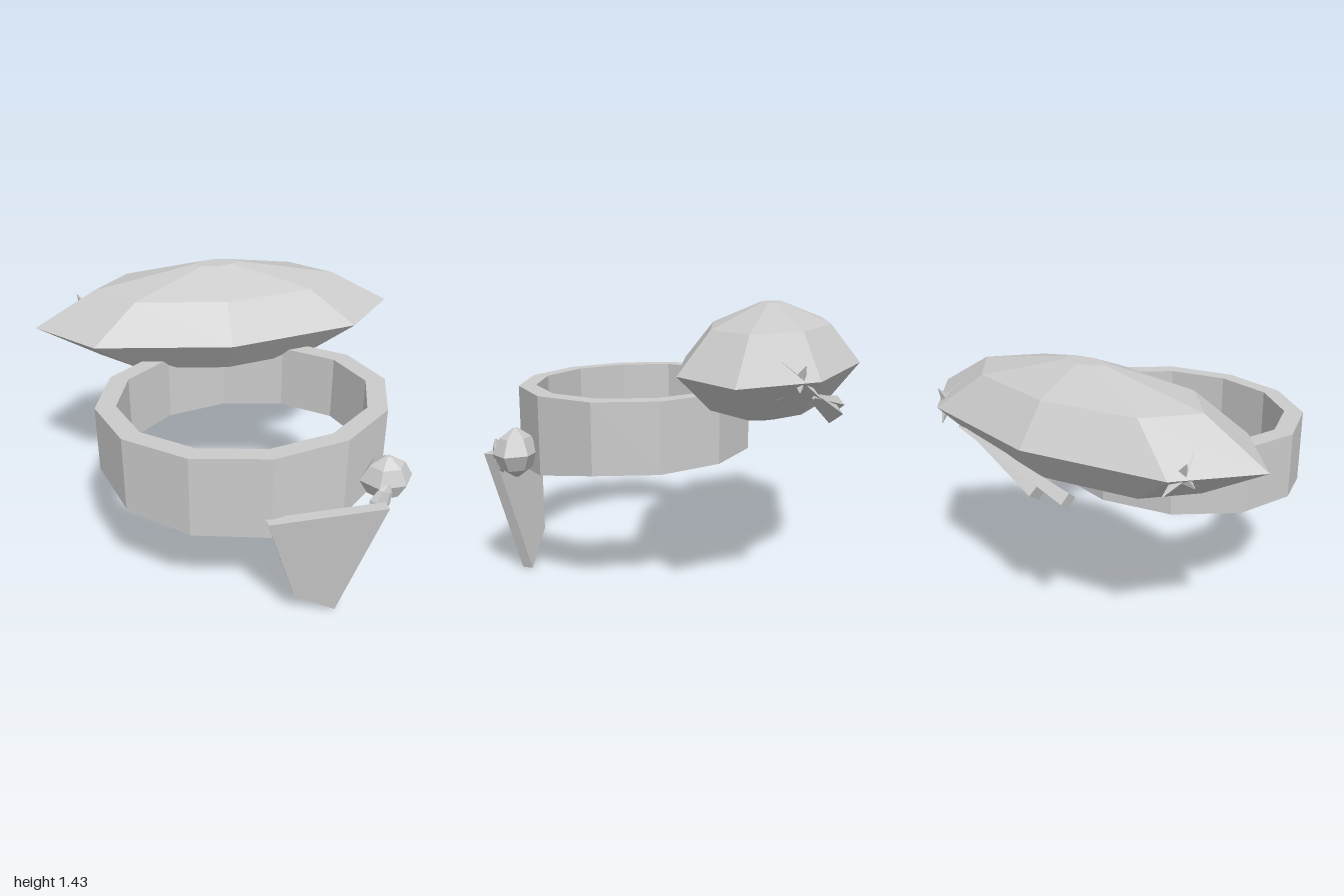
import * as THREE from 'three';

export function createModel() {
  const root = new THREE.Group();
  const mat = new THREE.MeshStandardMaterial({ color: 0xcccccc, flatShading: true, side: THREE.DoubleSide });

  const add = (name, geometry, parent = root) => {
    const mesh = new THREE.Mesh(geometry, mat);
    mesh.name = name;
    parent.add(mesh);
    return mesh;
  };

  // Faceted ball with small flat caps, used for the bun and the beads
  const facetedBall = (name, sides, [x, y, z], [rx, ry, rz]) => {
    const profile = [[0, -1], [0.12, -1], [0.67, -0.64], [1, 0], [0.67, 0.64], [0.12, 1], [0, 1]]
      .map(([r, h]) => new THREE.Vector2(r, h));
    const mesh = add(name, new THREE.LatheGeometry(profile, sides, Math.PI / 2).scale(rx, ry, rz));
    mesh.position.set(x, y, z);
    return mesh;
  };

  // Tapered rod running between two points
  const rod = (name, from, to, r0, r1, sides, parent = root) => {
    const a = new THREE.Vector3(...from), b = new THREE.Vector3(...to);
    const dir = b.clone().sub(a);
    const mesh = add(name, new THREE.CylinderGeometry(r1, r0, dir.length(), sides), parent);
    mesh.position.copy(a).add(b).multiplyScalar(0.5);
    mesh.quaternion.setFromUnitVectors(new THREE.Vector3(0, 1, 0), dir.normalize());
    return mesh;
  };

  // Oval headband, its lower edge dipping towards the front
  const section = [[1, 0.65], [1, 1], [0.86, 1], [0.86, 0.65], [1, 0.65]].map(([r, h]) => new THREE.Vector2(r, h));
  const band = new THREE.LatheGeometry(section, 12).scale(0.74, 1, 0.61).translate(0, 0, 0.26);
  const p = band.attributes.position;
  for (let i = 0; i < p.count; i++) {
    if (p.getY(i) < 0.8) p.setY(i, 0.65 - 0.14 * Math.max(0, p.getZ(i) - 0.26));
  }
  add('headband', band);

  // Wide bun at the back
  facetedBall('bun', 8, [0, 1.128, -0.46], [1, 0.298, 0.455]);

  // Beads at the side of the hanging flap
  facetedBall('largeBead', 6, [0.605, 0.708, 0.705], [0.135, 0.122, 0.108]);
  facetedBall('smallBead', 6, [0.53, 0.665, 0.835], [0.055, 0.1, 0.022]).rotation.z = -0.35;

  // Hanging flap, leaning back towards its tip
  const outline = new THREE.Shape([[-0.03, 0.67], [0.13, 0.15], [0.355, 0], [0.55, 0.675]]
    .map(([x, y]) => new THREE.Vector2(x, y)));
  const flap = new THREE.ExtrudeGeometry(outline, { depth: 0.055, bevelEnabled: false });
  const f = flap.attributes.position;
  for (let i = 0; i < f.count; i++) f.setZ(i, f.getZ(i) + 0.76 + 0.14 * f.getY(i));
  add('flap', flap);

  // Small spiked ornaments on both sides of the bun
  const tips = [[0.72, 1.21, -0.61], [0.74, 1.045, -0.59], [0.76, 1.2, -0.72], [0.68, 1.05, -0.78], [0.79, 1.09, -0.7]];
  for (const side of [1, -1]) {
    const ornament = new THREE.Group();
    ornament.name = side > 0 ? 'leftOrnament' : 'rightOrnament';
    tips.forEach(([x, y, z]) =>
      rod('spike', [side * 0.725, 1.13, -0.695], [side * x, y, z], 0.035, 0.002, 3, ornament));
    root.add(ornament);
  }

  // Two hairpins slanting down across the back
  rod('longHairpin', [0.72, 1.11, -0.7], [0.02, 0.87, -0.785], 0.02, 0.06, 4);
  rod('shortHairpin', [0.6, 1.04, -0.74], [-0.17, 0.88, -0.795], 0.008, 0.045, 4);

  return root;
}
